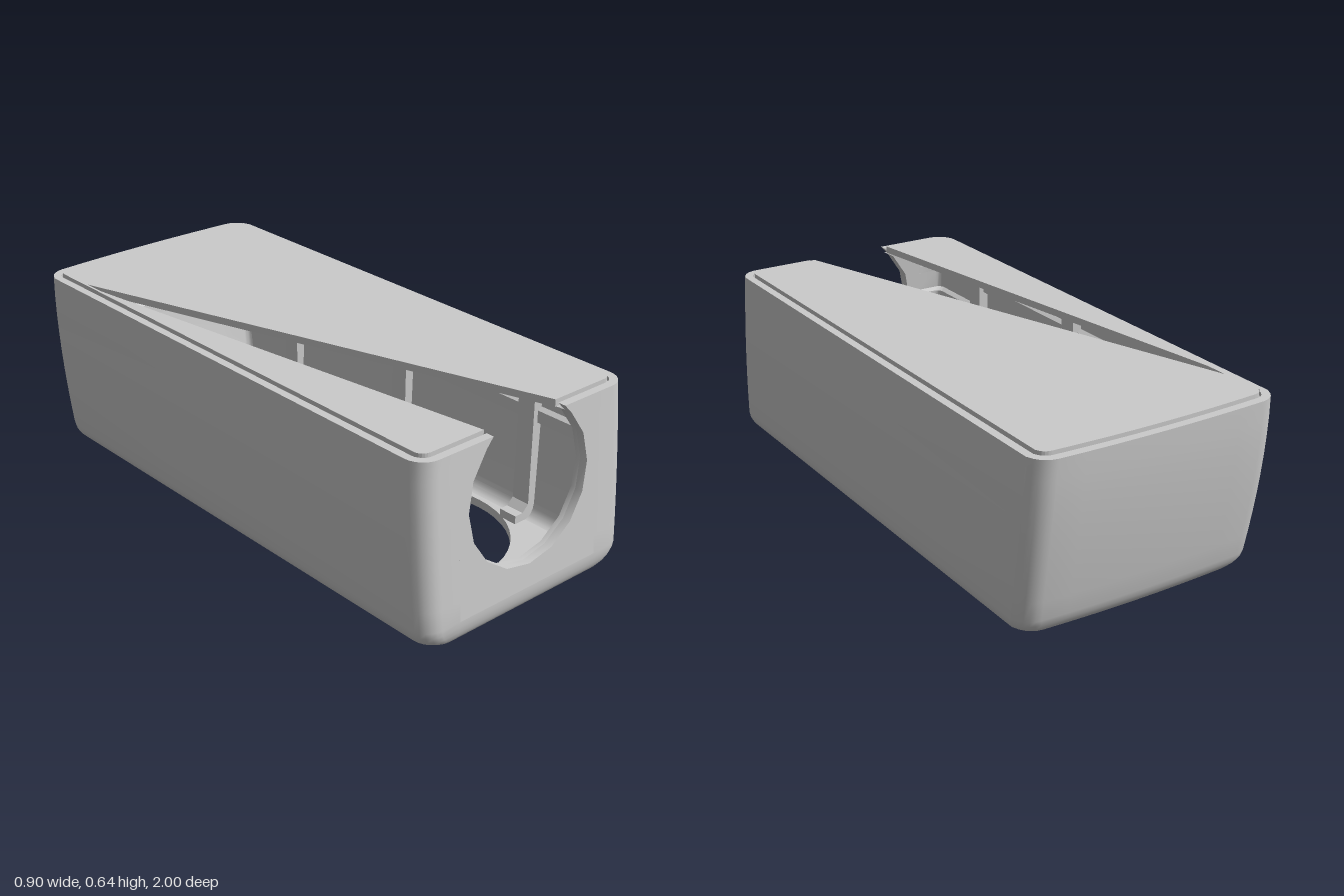
import * as THREE from 'three';
import { toCreasedNormals } from 'three/addons/utils/BufferGeometryUtils.js';

const TOP = 0.635, LOW = 0.08, FLOOR = 0.03, EDGE = 0.3;
const HOLE = { z: 0.46, r: 0.34 };
const material = new THREE.MeshStandardMaterial({ color: 0xcccccc, side: THREE.DoubleSide });

const frontZ = (y) => 1 - 0.072 * Math.max(0, y - LOW);
const backZ = (y) => -1 + 0.07 * Math.pow(Math.max(0, TOP - y) / 0.555, 1.5);
const sideX = (y) => 0.445 + 0.006 * (1 - ((y - 0.36) / 0.28) ** 2);

// Rounded plan outline at height y, from the right of the front opening round to its left.
function ring(y, inset, f = 0) {
  const w = sideX(y) - inset - 0.095 * f;
  const zf = frontZ(y) - inset - 0.035 * f;
  const zb = backZ(y) + inset + 0.08 * f;
  const r = Math.max(0.025, 0.07 - inset);
  const e = Math.min(EDGE, w - r);
  const right = [[e, zf]];
  for (let i = 0; i <= 6; i++) {
    const a = (i / 6) * Math.PI / 2;
    right.push([w - r + r * Math.sin(a), zf - r + r * Math.cos(a)]);
  }
  for (let i = 0; i <= 6; i++) {
    const a = (i / 6) * Math.PI / 2;
    right.push([w - r + r * Math.cos(a), zb + r - r * Math.sin(a)]);
  }
  for (const k of [0.75, 0.5, 0.25]) right.push([(w - r) * k, zb]);
  const left = right.map(([x, z]) => [-x, z]).reverse();
  const all = [...right, [0, zb], ...left];
  // gentle bow of the back wall
  return all.map(([x, z]) => [x, z < zb + r ? z + 0.015 * (x / w) ** 2 : z]);
}

const toShape = (points) => new THREE.Shape(points.map(([x, z]) => new THREE.Vector2(x, -z)));

function add(group, name, geometry) {
  const mesh = new THREE.Mesh(geometry, material);
  mesh.name = name;
  group.add(mesh);
  return mesh;
}

// Skin over the wall profile; the front stays open above LOW for the front panel.
function wallGeometry(profile) {
  const rings = profile.map(([y, inset, f]) => ring(y, inset, f));
  const n = rings[0].length, pos = [], idx = [];
  rings.forEach((pts, i) => pts.forEach(([x, z]) => pos.push(x, profile[i][0], z)));
  for (let i = 0; i < rings.length - 1; i++) {
    const open = Math.min(profile[i][0], profile[i + 1][0]) >= LOW - 1e-6;
    for (let j = 0; j < (open ? n - 1 : n); j++) {
      const k = (j + 1) % n;
      const a = i * n + j, b = i * n + k, c = b + n, d = a + n;
      idx.push(a, b, c, a, c, d);
    }
  }
  const g = new THREE.BufferGeometry();
  g.setAttribute('position', new THREE.Float32BufferAttribute(pos, 3));
  g.setIndex(idx);
  g.computeVertexNormals();
  return toCreasedNormals(g, 0.6);
}

// Sloped front panel with the round opening that breaks through its top edge.
function frontPanel(top, zOffset, depth) {
  const pts = [[-EDGE, LOW], [EDGE, LOW], [EDGE, top], [0.155, top]];
  for (let k = 6; k >= -6; k--) {
    const a = k * Math.PI / 8;
    pts.push([0.26 * Math.sin(a), 0.42 - 0.26 * Math.cos(a)]);
  }
  pts.push([-0.155, top], [-EDGE, top]);
  const shape = new THREE.Shape(pts.map((p) => new THREE.Vector2(...p)));
  const g = new THREE.ExtrudeGeometry(shape, { depth, bevelEnabled: false });
  const p = g.attributes.position;
  for (let i = 0; i < p.count; i++) {
    p.setZ(i, p.getZ(i) - depth - zOffset + frontZ(p.getY(i)));
  }
  g.computeVertexNormals();
  return toCreasedNormals(g, 0.5);
}

function floorGeometry(y, inset, f) {
  const shape = toShape(ring(y, inset, f));
  const hole = new THREE.Path();
  hole.absarc(0, -HOLE.z, HOLE.r, 0, Math.PI * 2, true);
  shape.holes.push(hole);
  return new THREE.ShapeGeometry(shape, 24).rotateX(-Math.PI / 2).translate(0, y, 0);
}

export function createModel() {
  const model = new THREE.Group();
  model.name = 'slottedCase';

  // Outer wall, rim, lid ledge, inner wall with two ridges, inner fillet
  const profile = [];
  for (let i = 0; i <= 6; i++) {
    const a = (i / 6) * Math.PI / 2;
    profile.push([LOW * (1 - Math.cos(a)), 0, 1 - Math.sin(a)]);
  }
  for (let i = 1; i <= 8; i++) profile.push([LOW + (TOP - LOW) * i / 8, 0, 0]);
  profile.push([TOP, 0.028, 0], [0.62, 0.028, 0], [0.62, 0.045, 0]);
  for (const [hi, lo] of [[0.555, 0.51], [0.44, 0.38]]) {
    profile.push([hi, 0.045, 0], [hi - 0.01, 0.062, 0], [lo + 0.006, 0.062, 0], [lo, 0.045, 0]);
  }
  for (let i = 4; i >= 0; i--) {
    const a = (i / 4) * Math.PI / 2;
    profile.push([FLOOR + (LOW - FLOOR) * (1 - Math.cos(a)), 0.045, 0.4 * (1 - Math.sin(a))]);
  }
  add(model, 'caseWall', wallGeometry(profile));

  // Front wall in two layers, leaving the lid ledge behind the rim
  add(model, 'frontPanel', frontPanel(TOP, 0, 0.028));
  add(model, 'frontPanelLiner', frontPanel(0.62, 0.028, 0.017));

  // Floor with a round through-hole
  add(model, 'caseUnderside', floorGeometry(0, 0, 1));
  add(model, 'caseFloor', floorGeometry(FLOOR, 0.045, 0.4));
  const bore = new THREE.CylinderGeometry(HOLE.r, HOLE.r, FLOOR, 48, 1, true);
  add(model, 'floorHoleWall', bore).position.set(0, FLOOR / 2, HOLE.z);

  // Lid with the tapering slot
  const outline = ring(TOP, 0.035);
  const zf = outline[0][1];
  const lid = toShape([[0.15, zf], ...outline, [-0.16, zf], [-0.402, -0.7], [-0.402, -0.78]]);
  const lidGeometry = new THREE.ExtrudeGeometry(lid, { depth: 0.025, bevelEnabled: false });
  add(model, 'lid', lidGeometry.rotateX(-Math.PI / 2).translate(0, 0.62, 0));

  // Inner U-shaped frames; the front one stops at the floor hole
  for (const [z, end] of [[0.62, 0.31], [0.015, 0], [-0.585, 0]]) {
    for (const s of [1, -1]) {
      const pts = [[end, 0.025], [0.38, 0.025], [0.41, 0.05], [0.41, 0.62], [0.37, 0.62],
        [0.37, 0.085], [0.345, 0.06], [end, 0.06]];
      const shape = new THREE.Shape(pts.map(([x, y]) => new THREE.Vector2(s * x, y)));
      const g = new THREE.ExtrudeGeometry(shape, { depth: 0.07, bevelEnabled: false });
      add(model, s > 0 ? 'leftFrame' : 'rightFrame', g).position.z = z - 0.035;
    }
  }
  return model;
}
